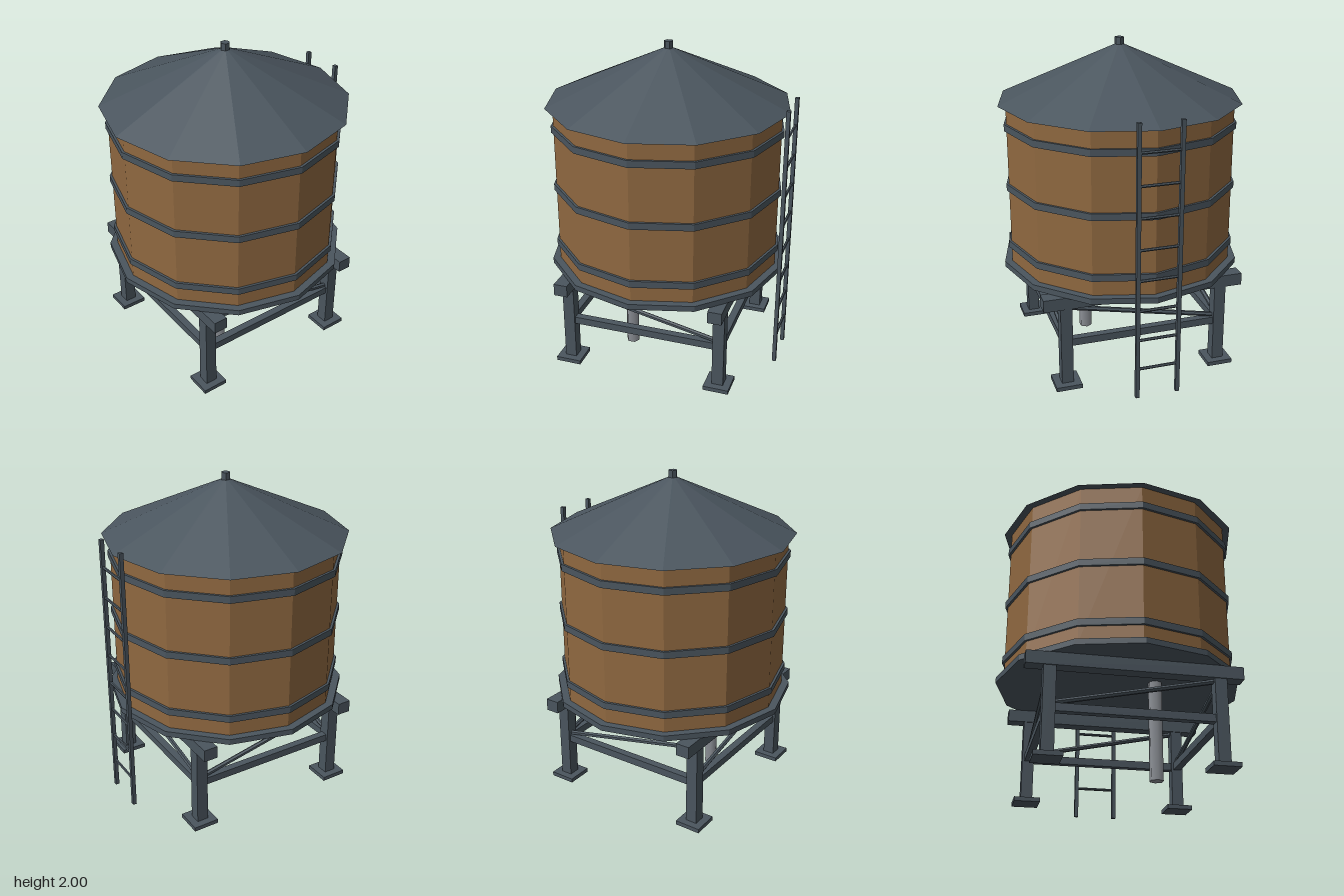
import * as THREE from 'three';

export function createModel() {
  const wood = new THREE.MeshStandardMaterial({ color: 0x8f6840, flatShading: true });
  wood.name = 'wood';
  const steel = new THREE.MeshStandardMaterial({ color: 0x4a555e, flatShading: true });
  steel.name = 'darkSteel';
  const grey = new THREE.MeshStandardMaterial({ color: 0x8c9096 });
  grey.name = 'pipeGrey';

  const model = new THREE.Group();
  model.name = 'waterTower';
  const tower = new THREE.Group();
  tower.name = 'tower';
  tower.position.z = 0.008;
  model.add(tower);

  const add = (name, geometry, material, x, y, z, parent = tower) => {
    const mesh = new THREE.Mesh(geometry, material);
    mesh.name = name;
    mesh.position.set(x, y, z);
    parent.add(mesh);
    return mesh;
  };
  const box = (name, w, h, d, x, y, z, parent) =>
    add(name, new THREE.BoxGeometry(w, h, d), steel, x, y, z, parent);
  // Upright prism spanning y0 to y1
  const prism = (name, rTop, rBottom, y0, y1, sides, material, x = 0, z = 0) =>
    add(name, new THREE.CylinderGeometry(rTop, rBottom, y1 - y0, sides), material, x, (y0 + y1) / 2, z);
  // Thin rod between two points
  const rod = (name, a, b, r, parent) => {
    const dir = b.clone().sub(a);
    const mesh = add(name, new THREE.CylinderGeometry(r, r, dir.length(), 6), steel, 0, 0, 0, parent);
    mesh.position.copy(a).add(b).multiplyScalar(0.5);
    mesh.quaternion.setFromUnitVectors(new THREE.Vector3(0, 1, 0), dir.normalize());
  };

  // Tank, platform, roof and hoops
  prism('tank', 0.7, 0.7, 0.63, 1.63, 12, wood);
  prism('platform', 0.747, 0.747, 0.6, 0.635, 12, steel);
  prism('roof', 0.02, 0.747, 1.63, 1.96, 12, steel);
  prism('roofCap', 0.028, 0.028, 1.94, 2, 6, steel);
  for (const y of [0.75, 1.125, 1.5]) prism('hoop', 0.715, 0.715, y - 0.021, y + 0.021, 12, steel);

  // Outlet pipe under the tank
  prism('outletPipe', 0.042, 0.042, 0, 0.605, 6, grey, 0.185, 0.188);

  // Legs, feet, beams and bracing
  const L = 0.487;
  for (const s of [-1, 1]) {
    for (const t of [-1, 1]) {
      box('leg', 0.072, 0.52, 0.072, s * L, 0.28, t * L);
      box('foot', 0.16, 0.026, 0.16, s * L, 0.013, t * L);
    }
    box('topBeam', 1.248, 0.076, 0.086, 0, 0.562, s * L);
    box('crossBrace', 2 * L, 0.046, 0.046, 0, 0.289, s * L);
    box('sideBrace', 0.046, 0.046, 2 * L, s * L, 0.289, 0);
    rod('frontDiagonal', new THREE.Vector3(-L, 0.315, s * L), new THREE.Vector3(L, 0.52, s * L), 0.015);
    rod('sideDiagonal', new THREE.Vector3(s * L, 0.315, -L), new THREE.Vector3(s * L, 0.52, L), 0.015);
  }

  // Ladder at the back
  const ladder = new THREE.Group();
  ladder.name = 'ladder';
  ladder.position.z = -0.748;
  model.add(ladder);
  for (const s of [-1, 1]) box('ladderRail', 0.024, 1.69, 0.024, s * 0.125, 0.845, 0, ladder);
  for (let i = 1; i <= 8; i++) {
    const y = i * 0.19;
    rod('ladderRung', new THREE.Vector3(-0.125, y, 0), new THREE.Vector3(0.125, y, 0), 0.009, ladder);
  }
  return model;
}
